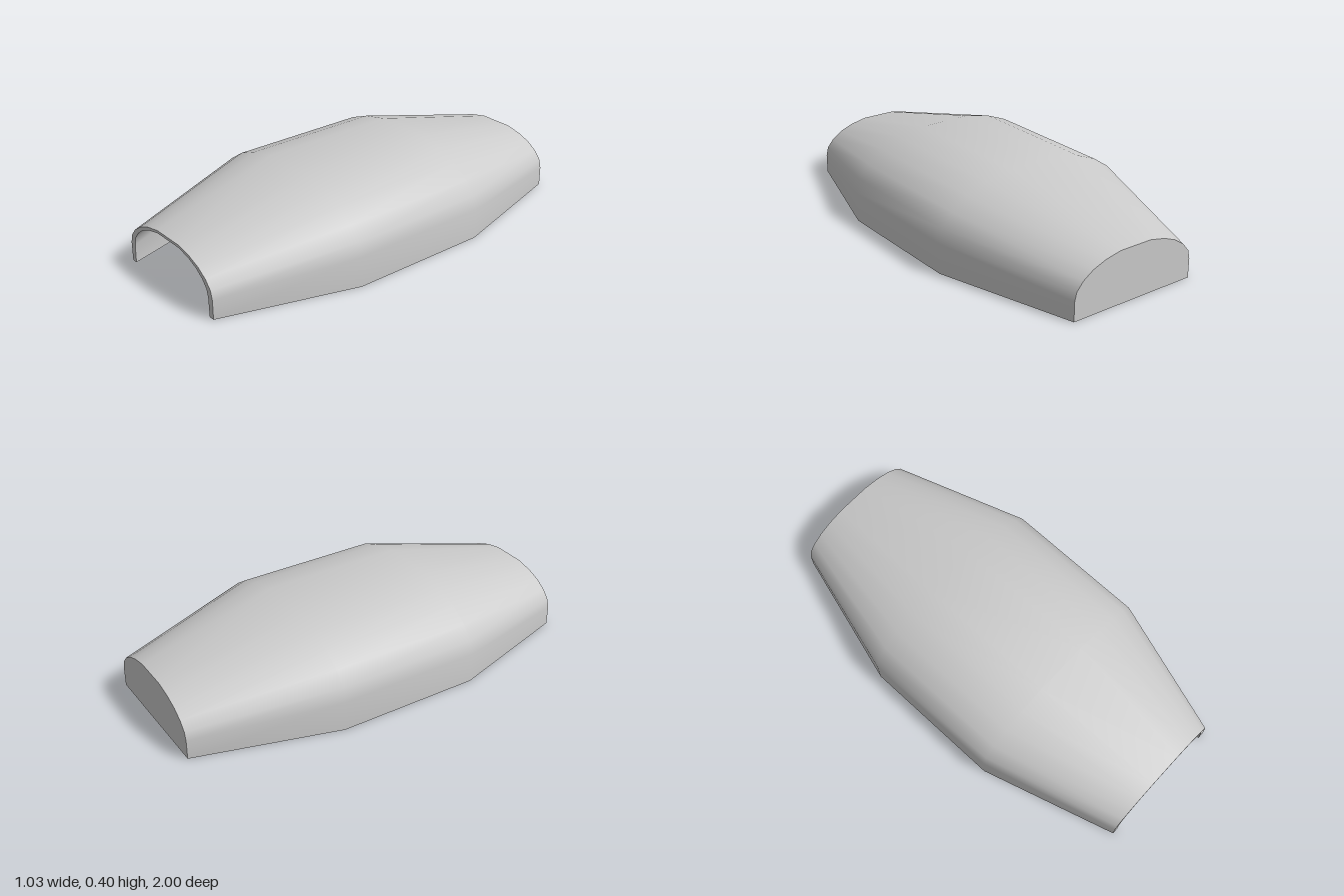
import * as THREE from 'three';
import { toCreasedNormals } from 'three/addons/utils/BufferGeometryUtils.js';

// Half of the widest arch, from the foot to the crown: x, y, and the wall thickness inwards
const HALF_ARCH = [
  [0.516, 0, 0.028, 0], [0.516, 0.146, 0.031, 0.002], [0.5, 0.212, 0.03, 0.004],
  [0.447, 0.275, 0.026, 0.008], [0.365, 0.33, 0.018, 0.011],
  [0.262, 0.37, 0.009, 0.012], [0.133, 0.397, 0, 0.013],
];

// One arch from +x over the top to -x
function arch(z, scale, inner) {
  const half = HALF_ARCH.map(([x, y, dx, dy]) =>
    new THREE.Vector3(x * scale - (inner ? dx : 0), y * scale - (inner ? dy : 0), z));
  const mirrored = half.map((p) => new THREE.Vector3(-p.x, p.y, p.z)).reverse();
  return [...half, ...mirrored];
}

// Mesh made of bands of quads, each between two rows of points
function bandMesh(name, bands) {
  const pos = [];
  for (const [a, b] of bands) {
    for (let i = 0; i < a.length - 1; i++) {
      for (const tri of [[a[i], b[i], b[i + 1]], [a[i], b[i + 1], a[i + 1]]]) {
        if (new THREE.Triangle(...tri).getArea() < 1e-9) continue;
        for (const p of tri) pos.push(p.x, p.y, p.z);
      }
    }
  }
  const geometry = new THREE.BufferGeometry();
  geometry.setAttribute('position', new THREE.Float32BufferAttribute(pos, 3));
  const material = new THREE.MeshStandardMaterial({ color: 0xcccccc });
  const mesh = new THREE.Mesh(toCreasedNormals(geometry, 0.6), material);
  mesh.name = name;
  return mesh;
}

export function createModel() {
  const group = new THREE.Group();
  group.name = 'archedShell';

  // Sections from the open front to the closed back
  const outer = [[1, 0.628], [0.36, 1], [-0.33, 1], [-1, 0.628]].map(([z, s]) => arch(z, s, false));
  const inner = [[1, 0.628], [0.36, 1], [-0.33, 1], [-0.975, 0.642]].map(([z, s]) => arch(z, s, true));
  const last = outer[0].length - 1;
  const column = (sections, i) => sections.map((s) => s[i]);

  // Curved wall: outside, inside, front rim and the two feet
  const wall = [];
  for (let k = 0; k < 3; k++) {
    wall.push([outer[k], outer[k + 1]], [inner[k + 1], inner[k]]);
  }
  wall.push([inner[0], outer[0]]);
  wall.push([column(outer, 0), column(inner, 0)]);
  wall.push([column(inner, last), column(outer, last)]);
  group.add(bandMesh('shellWall', wall));

  // Back wall: outside face, inside face and bottom edge
  const o = outer[3], i = inner[3];
  const centre = (row) => row.map((p) => new THREE.Vector3(0, 0, p.z));
  group.add(bandMesh('backWall', [
    [o, centre(o)],
    [centre(i), i],
    [[o[0], o[last]], [i[0], i[last]]],
  ]));
  return group;
}
